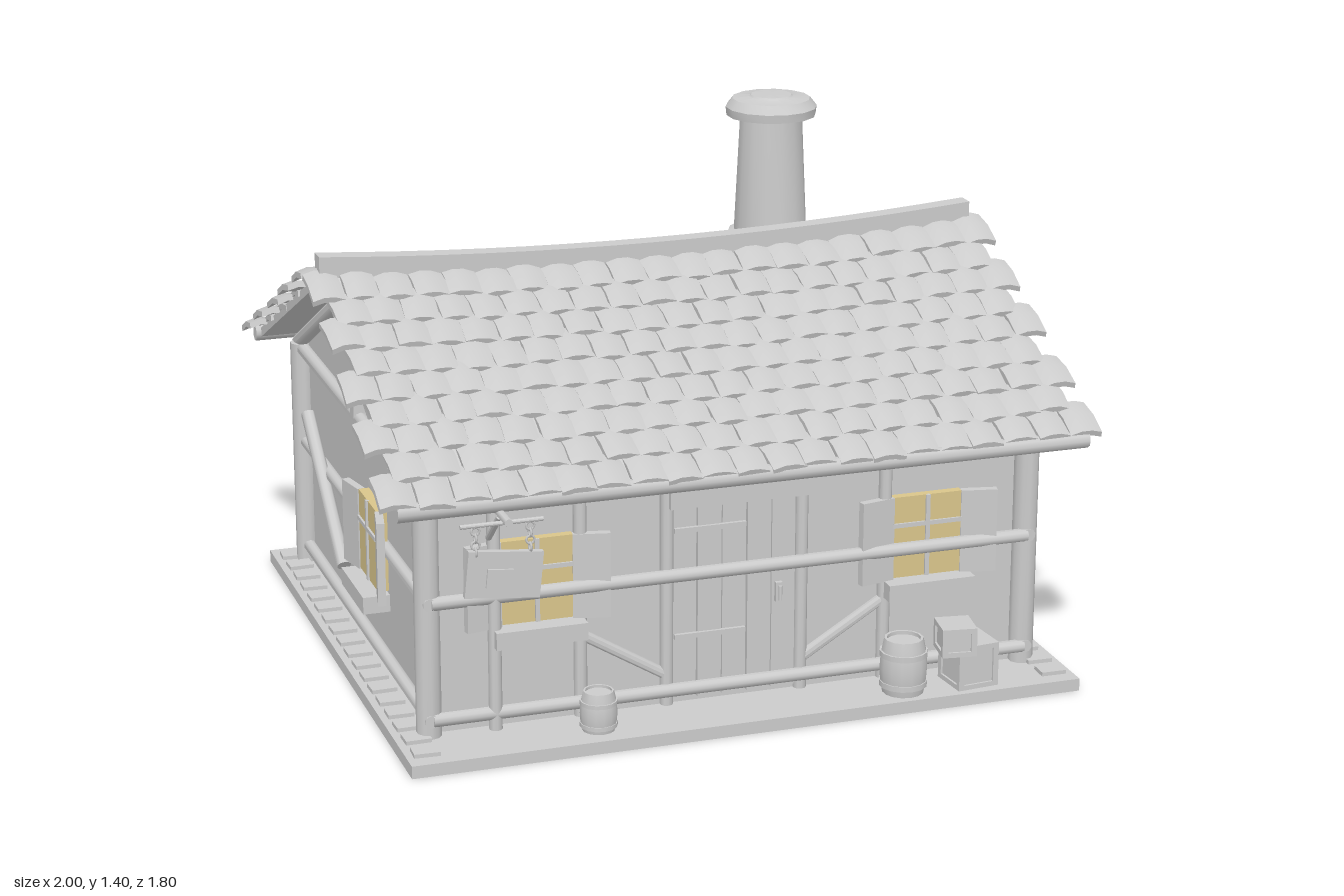
import * as THREE from 'three';
import { mergeGeometries, toCreasedNormals } from 'three/addons/utils/BufferGeometryUtils.js';

const grey = new THREE.MeshStandardMaterial({ color: 0xcccccc });
const glass = new THREE.MeshStandardMaterial({ color: 0xd9c58b });
const V = (x, y, z) => new THREE.Vector3(x, y, z);

// Roof section: ridge line and the two eaves
const RIDGE = { y: 1.12, z: -0.035 }, EAVE_Y = 0.72, RUN = 0.84;

export function createModel() {
  const root = new THREE.Group();
  let seed = 7;
  const rand = () => (seed = (seed * 16807) % 2147483647) / 2147483647 - 0.5;

  function add(name, geo, parent = root, mat = grey) {
    const mesh = new THREE.Mesh(geo, mat);
    mesh.name = name;
    parent.add(mesh);
    return mesh;
  }
  function box(name, w, h, d, x, y, z, parent = root, mat = grey) {
    const m = add(name, new THREE.BoxGeometry(w, h, d), parent, mat);
    m.position.set(x, y, z);
    return m;
  }
  // Round timber between two points
  function pole(name, a, b, r, parent = root, sides = 10) {
    const dir = b.clone().sub(a);
    const geo = toCreasedNormals(new THREE.CylinderGeometry(r, r, dir.length(), sides), 0.9);
    const m = add(name, geo, parent);
    m.position.copy(a).add(b).multiplyScalar(0.5);
    m.quaternion.setFromUnitVectors(V(0, 1, 0), dir.normalize());
    return m;
  }
  function lathe(name, pts, sides, x, y, z) {
    const geo = new THREE.LatheGeometry(pts.map(p => new THREE.Vector2(...p)), sides);
    const m = add(name, toCreasedNormals(geo, 0.7));
    m.position.set(x, y, z);
    return m;
  }
  // Lower the roof towards the middle of the ridge
  function sag(geo) {
    const p = geo.attributes.position;
    for (let i = 0; i < p.count; i++) {
      const up = Math.max(0, (p.getY(i) - EAVE_Y) / (RIDGE.y - EAVE_Y));
      p.setY(i, p.getY(i) - 0.035 * up * (1 - Math.min(1, p.getX(i) ** 2 / 0.9)));
    }
    geo.computeVertexNormals();
    return geo;
  }

  // Foundation slab with a row of edging stones
  box('foundation', 1.88, 0.035, 1.69, 0, 0.0175, 0.005);
  for (const s of [-1, 1])
    for (let i = 0; i < 18; i++)
      box('edgingStone', 0.07, 0.02, 0.055, s * 0.885, 0.036, -0.77 + i * 0.091).rotation.y = rand() * 0.1;

  // Walls with gables, one extruded house section
  const section = new THREE.Shape();
  section.moveTo(-0.655, 0.03).lineTo(0.74, 0.03).lineTo(0.74, 0.7);
  section.lineTo(-RIDGE.z, 1.08).lineTo(-0.655, 0.7);
  const walls = new THREE.ExtrudeGeometry(section, { depth: 1.66, bevelEnabled: false });
  walls.translate(0, 0, -0.83).rotateY(Math.PI / 2);
  add('walls', walls);

  // Timber frame on the sides
  for (const s of [-1, 1]) {
    const x = s * 0.845;
    for (const z of [0.665, -0.74]) pole('cornerPost', V(x, 0.03, z), V(x, 0.71, z), 0.034);
    for (const y of [0.085, 0.41]) pole('sideBeam', V(x, y, 0.7), V(x, y, -0.78), 0.018);
    pole('sideTopBeam', V(x, 0.695, 0.7), V(x, 0.695, -0.78), 0.02);
    pole('sideBrace', V(s * 0.868, 0.215, -0.17), V(s * 0.868, 0.54, -0.58), 0.02);
    box('gablePost', 0.04, 0.4, 0.04, x, 0.9, RIDGE.z);
    for (const f of [-1, 1])
      pole('gableRafter', V(x, 0.7, RIDGE.z + f * 0.74), V(x, 1.07, RIDGE.z), 0.022);
  }

  // Timber frame on the front and back
  for (const y of [0.085, 0.41]) {
    pole('frontBeam', V(-0.84, y, 0.69), V(0.84, y, 0.69), 0.018);
    pole('backBeam', V(-0.86, y, -0.755), V(0.86, y, -0.755), 0.018);
  }
  for (const [name, z] of [['frontTopBeam', 0.67], ['backTopBeam', -0.75]])
    pole(name, V(-0.86, 0.69, z), V(0.86, 0.69, z), 0.02);
  for (const s of [-1, 1]) {
    pole('frontPost', V(s * 0.43, 0.04, 0.67), V(s * 0.43, 0.69, 0.67), 0.018);
    pole('frontBrace', V(s * 0.43, 0.27, 0.67), V(s * 0.2, 0.13, 0.67), 0.015);
    pole('doorPost', V(s * 0.19, 0.04, 0.67), V(s * 0.19, 0.64, 0.67), 0.018);
  }

  // Plank door
  const door = new THREE.Group();
  door.name = 'door';
  root.add(door);
  for (let i = 0; i < 5; i++)
    box('doorPlank', 0.066, 0.56, 0.03, -0.14 + i * 0.07, 0.33, 0.655 + (i % 2) * 0.003, door);
  box('doorLintel', 0.4, 0.05, 0.06, 0.01, 0.625, 0.675, door);
  for (const y of [0.23, 0.53]) box('doorHinge', 0.2, 0.014, 0.01, -0.07, y, 0.676, door);
  box('doorHandlePlate', 0.02, 0.055, 0.012, 0.125, 0.325, 0.676, door);
  pole('doorHandle', V(0.125, 0.305, 0.69), V(0.125, 0.345, 0.69), 0.005, door);

  // Windows with shutters, modelled facing +z
  function windowUnit(x, y, z, turn) {
    const g = new THREE.Group();
    g.name = 'window';
    g.position.set(x, y, z);
    g.rotation.y = turn;
    root.add(g);
    box('windowPane', 0.2, 0.23, 0.03, 0, 0, 0, g, glass);
    box('windowBar', 0.012, 0.23, 0.01, 0, 0, 0.016, g);
    box('windowCrossbar', 0.2, 0.012, 0.01, 0, 0.035, 0.016, g);
    for (const s of [-1, 1])
      box('shutter', 0.1, 0.235, 0.022, s * 0.148, -0.002, 0.018, g).rotation.y = -s * 0.2;
    box('windowSill', 0.25, 0.048, 0.075, 0, -0.142, 0.026, g);
  }
  for (const s of [-1, 1]) {
    windowUnit(s * 0.55, 0.44, 0.665, 0);
    windowUnit(s * 0.855, 0.4, 0.14, s * Math.PI / 2);
  }

  // Roof slopes: deck boards and overlapping curved tiles
  const slope = Math.hypot(RUN, RIDGE.y - EAVE_Y);
  const tiles = [];
  for (const s of [-1, 1]) {
    const down = V(0, EAVE_Y - RIDGE.y, s * RUN).normalize();
    const across = V(s, 0, 0);
    const up = down.clone().cross(across);
    const onSlope = new THREE.Matrix4().makeBasis(across, up, down).setPosition(0, RIDGE.y, RIDGE.z);

    const deck = new THREE.BoxGeometry(1.88, 0.025, slope, 16, 1, 4);
    deck.translate(0, -0.012, slope / 2).applyMatrix4(onSlope);
    add('roofDeck', toCreasedNormals(sag(deck), 0.6));

    const rows = 9, pitch = 0.0945;
    for (let r = 0; r < rows; r++) {
      const count = r % 2 ? 20 : 21;
      for (let c = 0; c < count; c++) {
        const tile = new THREE.BoxGeometry(0.093 + rand() * 0.01, 0.016, 0.135, 3, 1, 2);
        const p = tile.attributes.position;
        for (let i = 0; i < p.count; i++)
          p.setY(i, p.getY(i) - 5 * p.getX(i) ** 2 - 2 * p.getZ(i) ** 2);
        tile.rotateX(-0.12 + rand() * 0.08).rotateY(rand() * 0.1).rotateZ(rand() * 0.12);
        const along = 0.065 + r * (slope - 0.12) / (rows - 1);
        tile.translate((c - (count - 1) / 2) * pitch + rand() * 0.008, 0.019, along + rand() * 0.015);
        tiles.push(toCreasedNormals(sag(tile.applyMatrix4(onSlope)), 0.6));
      }
    }
    pole('eaveBeam', V(-0.955, 0.71, RIDGE.z + s * RUN), V(0.955, 0.71, RIDGE.z + s * RUN), 0.024);
  }
  add('roofTiles', mergeGeometries(tiles));

  const ridge = new THREE.BoxGeometry(1.9, 0.06, 0.052, 16, 1, 1).translate(0, 1.137, RIDGE.z);
  add('ridgeBeam', toCreasedNormals(sag(ridge), 0.6));

  // Round chimney with collar and cap
  lathe('chimney', [
    [0.1, 0.8], [0.1, 0.92], [0.13, 0.935], [0.135, 0.965], [0.125, 0.99], [0.108, 0.995],
    [0.092, 1.335], [0.132, 1.34], [0.135, 1.365], [0.115, 1.39], [0.065, 1.395],
    [0.06, 1.4], [0, 1.4]], 14, 0.535, 0, -0.525);

  // Hanging sign on a bracket
  const sign = new THREE.Group();
  sign.name = 'hangingSign';
  root.add(sign);
  pole('signPost', V(-0.67, 0.04, 0.69), V(-0.67, 0.69, 0.69), 0.018, sign);
  pole('signArm', V(-0.685, 0.685, 0.66), V(-0.685, 0.685, 0.895), 0.011, sign);
  pole('signArmBrace', V(-0.685, 0.58, 0.7), V(-0.685, 0.675, 0.81), 0.009, sign);
  pole('signCrossbar', V(-0.8, 0.67, 0.845), V(-0.58, 0.67, 0.845), 0.006, sign);
  for (const x of [-0.76, -0.615])
    for (let i = 0; i < 4; i++) {
      const link = add('chainLink', new THREE.TorusGeometry(0.011, 0.0035, 5, 8), sign);
      link.position.set(x, 0.655 - i * 0.019, 0.845);
      link.rotation.y = (i % 2) * Math.PI / 2;
    }
  box('signBoard', 0.2, 0.125, 0.018, -0.687, 0.532, 0.845, sign).rotation.z = -0.1;
  box('signPanel', 0.07, 0.05, 0.008, -0.7, 0.525, 0.857, sign).rotation.z = -0.1;

  // Barrels
  function barrel(x, z, r, h) {
    lathe('barrel', [[0, 0], [r * 0.78, 0], [r * 0.92, h * 0.25], [r * 0.96, h * 0.5],
      [r * 0.92, h * 0.75], [r * 0.78, h], [r * 0.68, h], [r * 0.68, h * 0.94], [0, h * 0.94]],
      14, x, 0.02, z);
    for (const t of [0.25, 0.75]) {
      const hoop = add('barrelHoop', new THREE.CylinderGeometry(r * 0.97, r * 0.97, h * 0.09, 14));
      hoop.position.set(x, 0.02 + h * t, z);
    }
  }
  barrel(-0.41, 0.765, 0.052, 0.125);
  barrel(0.45, 0.775, 0.068, 0.17);

  // Stacked crates with edge battens
  function crate(w, h, d, x, y, z, turn) {
    const g = new THREE.Group();
    g.name = 'crate';
    g.position.set(x, y, z);
    g.rotation.y = turn;
    root.add(g);
    box('crateBody', w - 0.012, h - 0.008, d - 0.012, 0, 0, 0, g);
    for (const a of [-1, 1]) {
      for (const b of [-1, 1])
        box('crateBatten', 0.016, h, 0.016, a * (w / 2 - 0.008), 0, b * (d / 2 - 0.008), g);
      box('crateRim', w, 0.014, d, 0, a * (h / 2 - 0.007), 0, g);
    }
  }
  crate(0.12, 0.125, 0.12, 0.645, 0.097, 0.765, 0.1);
  crate(0.095, 0.08, 0.1, 0.572, 0.2, 0.84, -0.15);

  return root;
}
